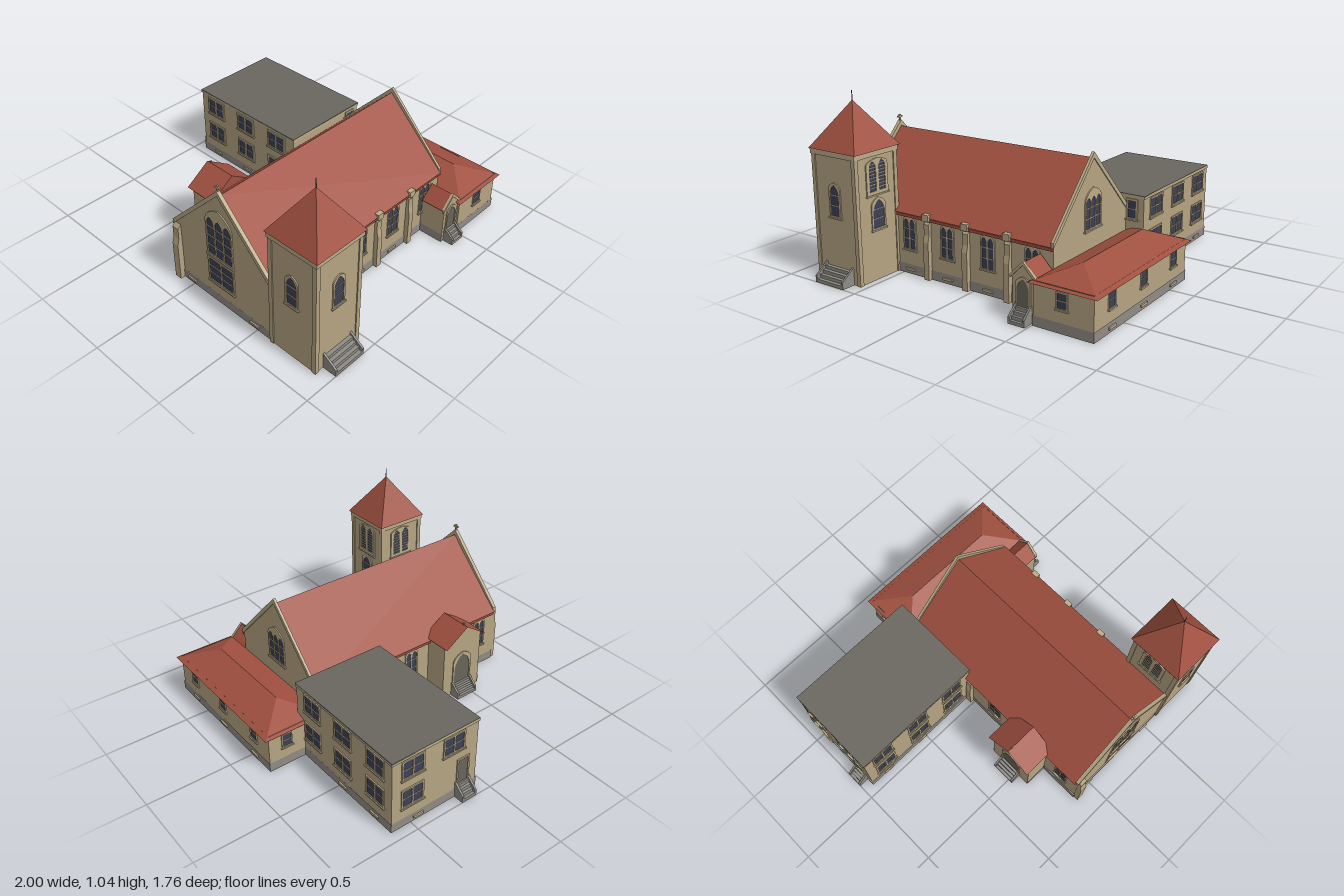
import * as THREE from 'three';

const mat = (name, color) => {
  const m = new THREE.MeshStandardMaterial({ color, side: THREE.DoubleSide });
  m.name = name;
  return m;
};

export function createModel() {
  const M = {
    wall: mat('sandstone', 0xb5a482), trim: mat('paleStone', 0xbbab89), roof: mat('redTile', 0xa05040),
    base: mat('greyPlinth', 0x918b85), glass: mat('darkGlass', 0x3c4154), flat: mat('flatRoofGrey', 0x69675e),
    step: mat('stepGrey', 0x8f8c86), door: mat('doorGrey', 0x68645a), iron: mat('iron', 0x55565a),
  };
  const root = new THREE.Group();
  root.name = 'church';

  // ---------- helpers ----------
  const add = (name, geo, m, parent = root) => {
    const mesh = new THREE.Mesh(geo, m);
    mesh.name = name;
    parent.add(mesh);
    return mesh;
  };
  const box = (name, x0, x1, y0, y1, z0, z1, m, parent) => {
    const g = new THREE.BoxGeometry(x1 - x0, y1 - y0, z1 - z0);
    g.translate((x0 + x1) / 2, (y0 + y1) / 2, (z0 + z1) / 2);
    return add(name, g, m, parent);
  };
  // convex polygons as flat triangle fans
  const faces = (name, polys, m, parent) => {
    const p = [];
    for (const q of polys) for (let i = 1; i < q.length - 1; i++) p.push(...q[0], ...q[i], ...q[i + 1]);
    const g = new THREE.BufferGeometry();
    g.setAttribute('position', new THREE.Float32BufferAttribute(p, 3));
    g.computeVertexNormals();
    return add(name, g, m, parent);
  };
  // four upright walls, open above and below
  const shell = (name, x0, x1, z0, z1, y0, y1, m) => {
    const c = [[x0, z1], [x1, z1], [x1, z0], [x0, z0]];
    return faces(name, c.map(([x, z], i) => {
      const [u, w] = c[(i + 1) % 4];
      return [[x, y0, z], [u, y0, w], [u, y1, w], [x, y1, z]];
    }), m);
  };
  const plinth = (x0, x1, z0, z1) => shell('plinth', x0 - 0.004, x1 + 0.004, z0 - 0.004, z1 + 0.004, 0, 0.056, M.base);
  // puts a part modelled facing +z onto a wall
  const turn = { front: 0, right: Math.PI / 2, back: Math.PI, left: -Math.PI / 2 };
  const onWall = (name, side, u, y, w) => {
    const g = new THREE.Group();
    g.name = name;
    g.rotation.y = turn[side];
    if (side === 'front' || side === 'back') g.position.set(u, y, w);
    else g.position.set(w, y, u);
    root.add(g);
    return g;
  };
  const outline = (P, cx, w, y0, spring, top) => {
    const s = new P(), r = w / 2, d = top - spring;
    s.moveTo(cx - r, y0);
    s.lineTo(cx + r, y0);
    s.lineTo(cx + r, spring);
    if (d > 0) {
      s.quadraticCurveTo(cx + r * 0.9, spring + d * 0.65, cx, top);
      s.quadraticCurveTo(cx - r * 0.9, spring + d * 0.65, cx - r, spring);
    } else s.lineTo(cx - r, spring);
    return s;
  };
  const extrude = (shape, depth, z = 0) =>
    new THREE.ExtrudeGeometry(shape, { depth, bevelEnabled: false, curveSegments: 6 }).translate(0, 0, z);
  // window or door with n lights, a surround, glazing bars and a sill
  const opening = (name, side, u, y, wall, { n = 1, w, h, arch = false, rows = 2, hood = 0.012, fill = M.glass, gap = 0.01 }) => {
    const g = onWall(name, side, u, y, wall);
    const W = n * w + (n + 1) * gap;
    const top = arch ? h + hood : h + gap;
    const surround = outline(THREE.Shape, 0, W, -gap, arch ? h - w * 0.35 : top, top);
    for (let i = 0; i < n; i++) {
      const cx = (i - (n - 1) / 2) * (w + gap);
      const spring = arch ? h - w * 0.8 : h;
      surround.holes.push(outline(THREE.Path, cx, w, 0, spring, h));
      add('pane', extrude(outline(THREE.Shape, cx, w, 0, spring, h), 0.006, -0.003), fill, g);
      for (let r = 1; r < rows; r++) {
        const by = h * r / rows;
        box('glazingBar', cx - w / 2, cx + w / 2, by - 0.002, by + 0.002, 0.002, 0.006, M.trim, g);
      }
    }
    add('surround', extrude(surround, 0.007), M.trim, g);
    box('sill', -W / 2 - 0.006, W / 2 + 0.006, -gap - 0.006, -gap + 0.002, 0, 0.012, M.trim, g);
  };
  const steps = (name, side, u, wall, w, d, h) => {
    const g = onWall(name, side, u, 0, wall), n = 4;
    for (let i = 0; i < n; i++) box('tread', -w / 2, w / 2, h * 0.8 * i / n, h * 0.8 * (i + 1) / n, 0, d * (1 - i / n), M.step, g);
    const cheek = new THREE.Shape([[0, 0], [d, 0], [d, h * 0.4], [0, h]].map(p => new THREE.Vector2(...p)));
    for (const s of [-1, 1]) {
      const m = add('cheek', extrude(cheek, 0.012, -0.006), M.step, g);
      m.rotation.y = -Math.PI / 2;
      m.position.x = s * (w / 2 - 0.006);
    }
  };
  const vent = (side, u, wall) => box('basementVent', -0.033, 0.033, -0.007, 0.007, -0.001, 0.008, M.trim, onWall('vent', side, u, 0.027, wall));
  // raised coping following a gable of half width r
  const coping = (name, side, u, wall, r, y0, y1, t, depth) => {
    const s = new THREE.Shape([[-r, y0], [0, y1], [r, y0], [r, y0 - t], [0, y1 - t], [-r, y0 - t]].map(p => new THREE.Vector2(...p)));
    add('coping', extrude(s, depth, -depth), M.trim, onWall(name, side, u, 0, wall));
  };
  const cross = (x, y, z, s) => {
    box('crossUpright', x - s * 0.12, x + s * 0.12, y, y + s, z - s * 0.12, z + s * 0.12, M.trim);
    box('crossArm', x - s * 0.45, x + s * 0.45, y + s * 0.55, y + s * 0.8, z - s * 0.12, z + s * 0.12, M.trim);
  };

  // ---------- nave ----------
  const nx0 = -0.13, nx1 = 0.61, nz0 = -0.51, nz1 = 0.845, rx = 0.24;
  faces('naveWalls', [
    ...[nz0, nz1].map(z => [[nx0, 0.05, z], [nx1, 0.05, z], [nx1, 0.375, z], [rx, 0.755, z], [nx0, 0.375, z]]),
    ...[nx0, nx1].map(x => [[x, 0.05, nz0], [x, 0.05, nz1], [x, 0.37, nz1], [x, 0.37, nz0]]),
  ], M.wall);
  plinth(nx0, nx1, nz0, nz1);
  faces('naveRoof', [-0.15, 0.63].map(x => [[x, 0.358, nz0 + 0.005], [x, 0.358, nz1 - 0.01], [rx, 0.737, nz1 - 0.01], [rx, 0.737, nz0 + 0.005]]), M.roof);
  for (const x of [-0.145, 0.612]) box('eavesFascia', x, x + 0.013, 0.337, 0.354, nz0, nz1 - 0.015, M.roof);
  coping('frontCoping', 'front', rx, nz1 + 0.006, 0.38, 0.383, 0.773, 0.032, 0.022);
  coping('rearCoping', 'back', rx, nz0 - 0.006, 0.38, 0.379, 0.768, 0.032, 0.016);
  cross(rx, 0.765, nz1 - 0.005, 0.04);
  opening('frontWindow', 'front', 0.235, 0.325, nz1, { n: 3, w: 0.053, h: 0.245, arch: true, rows: 4, hood: 0.07 });
  opening('lowerFrontWindow', 'front', 0.235, 0.14, nz1, { n: 2, w: 0.085, h: 0.145, rows: 3 });
  opening('rearWindow', 'back', rx, 0.36, nz0, { n: 3, w: 0.04, h: 0.17, arch: true, rows: 3, hood: 0.05 });
  const naveWin = { n: 2, w: 0.035, h: 0.175, arch: true, rows: 3, hood: 0.02, gap: 0.008 };
  for (const z of [0.445, 0.175, -0.1, -0.385]) opening('naveWindow', 'right', z, 0.15, nx1, naveWin);
  for (const z of [0.72, 0.175]) opening('naveWindow', 'left', z, 0.15, nx0, naveWin);

  // buttresses with sloping caps
  const buttress = (side, u, wall, w, d, h) => {
    const s = new THREE.Shape([[0, 0], [d, 0], [d, h * 0.64], [d * 0.65, h * 0.76], [d * 0.65, h * 0.94], [0, h]].map(p => new THREE.Vector2(...p)));
    const m = add('buttress', extrude(s, w, -w / 2), M.wall, onWall('buttress', side, u, 0, wall));
    m.rotation.y = -Math.PI / 2;
  };
  for (const z of [0.31, 0.04, -0.235]) {
    buttress('right', z, nx1, 0.036, 0.028, 0.34);
    box('buttressCap', nx1 - 0.005, nx1 + 0.028, 0.34, 0.378, z - 0.022, z + 0.022, M.trim);
  }
  buttress('left', -0.03, nx0, 0.036, 0.028, 0.34);
  buttress('front', -0.105, nz1, 0.045, 0.032, 0.37);
  for (const x of [-0.01, 0.48]) vent('front', x, nz1 + 0.004);
  for (const z of [0.445, 0.175, -0.1]) vent('right', z, nx1 + 0.004);

  // ---------- bell tower ----------
  const tx0 = 0.6, tx1 = 0.92, tz0 = 0.533, tz1 = 0.858, tcx = 0.757, tcz = 0.692;
  shell('towerWalls', tx0 + 0.006, tx1 - 0.006, tz0 + 0.006, tz1 - 0.006, 0, 0.72, M.wall);
  for (const x of [tx0, tx1 - 0.026]) for (const z of [tz0, tz1 - 0.026])
    box('cornerPilaster', x, x + 0.026, 0, 0.705, z, z + 0.026, M.wall);
  box('towerCornice', tx0 - 0.004, tx1 + 0.004, 0.705, 0.734, tz0 - 0.004, tz1 + 0.004, M.trim);
  const tc = [[0.585, 0.866], [0.93, 0.866], [0.93, 0.519], [0.585, 0.519]];
  faces('towerRoof', [...tc.map(([x, z], i) => {
    const [u, w] = tc[(i + 1) % 4];
    return [[x, 0.735, z], [u, 0.735, w], [tcx, 0.99, tcz]];
  }), tc.map(([x, z]) => [x, 0.735, z])], M.roof);
  add('spire', new THREE.CylinderGeometry(0.002, 0.004, 0.07, 6).translate(tcx, 1.007, tcz), M.iron);
  const towerWin = { w: 0.066, h: 0.175, arch: true, rows: 3, hood: 0.014 };
  opening('towerWindow', 'front', tcx, 0.365, tz1 - 0.006, towerWin);
  opening('towerWindow', 'right', 0.697, 0.375, tx1 - 0.006, towerWin);
  opening('towerRearWindow', 'back', tcx, 0.3, tz0 + 0.006, { ...towerWin, w: 0.085, h: 0.16 });
  const louvre = { n: 2, w: 0.05, h: 0.17, arch: true, rows: 9, gap: 0.02 };
  opening('bellLouvres', 'back', tcx, 0.51, tz0 + 0.006, louvre);
  opening('bellLouvres', 'left', tcz, 0.51, tx0 + 0.006, louvre);
  steps('towerSteps', 'right', 0.692, tx1 - 0.006, 0.21, 0.086, 0.1);

  // ---------- two-storey flat-roofed wing ----------
  const ax0 = -0.935, ax1 = -0.12, az0 = -0.622, az1 = -0.055;
  shell('wingWalls', ax0, ax1, az0, az1, 0.05, 0.45, M.wall);
  plinth(ax0, ax1, az0, az1);
  shell('wingCoping', ax0 - 0.005, ax1 + 0.005, az0 - 0.005, az1 + 0.005, 0.436, 0.453, M.trim);
  box('wingRoof', ax0 - 0.005, ax1 + 0.005, 0.447, 0.455, az0 - 0.005, az1 + 0.005, M.flat);
  const pair = { n: 2, w: 0.058, h: 0.1, rows: 2 };
  for (const y of [0.133, 0.32]) {
    for (const x of [-0.805, -0.535, -0.265]) {
      opening('wingWindow', 'front', x, y, az1, pair);
      opening('wingWindow', 'back', x, y, az0, pair);
    }
    opening('wingWindow', 'left', -0.49, y, ax0, pair);
  }
  opening('wingWindow', 'left', -0.22, 0.32, ax0, pair);
  opening('wingWindow', 'right', -0.55, 0.32, ax1, { w: 0.05, h: 0.1 });
  opening('wingDoor', 'left', -0.15, 0.085, ax0, { w: 0.065, h: 0.15, rows: 1, fill: M.door });
  steps('wingSteps', 'left', -0.15, ax0, 0.1, 0.065, 0.1);
  for (const x of [-0.805, -0.535]) {
    vent('front', x, az1 + 0.004);
    vent('back', x, az0 - 0.004);
  }
  vent('left', -0.45, ax0 - 0.004);

  // ---------- low hipped rear range ----------
  shell('rearWalls', -0.18, 0.78, -0.853, -0.505, 0.05, 0.24, M.wall);
  plinth(-0.18, 0.78, -0.853, -0.505);
  const a = [-0.2, 0.228, -0.48], b = [0.8, 0.228, -0.48], c = [0.8, 0.228, -0.88], d = [-0.2, 0.228, -0.88];
  const e = [0, 0.312, -0.68], f = [0.6, 0.312, -0.68];
  faces('rearRoof', [[a, b, f, e], [b, c, f], [c, d, e, f], [d, a, e]], M.roof);
  const small = { w: 0.055, h: 0.08, rows: 2, gap: 0.006 };
  for (const x of [0.62, 0.3, -0.03]) {
    opening('rearRangeWindow', 'back', x, 0.13, -0.853, small);
    vent('back', x, -0.857);
  }
  opening('rearRangeWindow', 'right', -0.675, 0.13, 0.78, small);
  opening('rearRangeWindow', 'left', -0.74, 0.13, -0.18, small);

  // ---------- gabled porches ----------
  const porch = (side, xi, xo, z, r, eave, ridge, roofIn, roofOut, door) => {
    const s = side === 'right' ? 1 : -1;
    faces('porchWalls', [
      [[xo, 0, z - r], [xo, 0, z + r], [xo, eave, z + r], [xo, ridge, z], [xo, eave, z - r]],
      ...[-r, r].map(q => [[xi, 0, z + q], [xo, 0, z + q], [xo, eave, z + q], [xi, eave, z + q]]),
    ], M.wall);
    const R = r + 0.012;
    faces('porchRoof', [
      ...[-R, R].map(q => [[roofIn, eave, z + q], [roofOut, eave, z + q], [roofOut, ridge + 0.004, z], [roofIn, ridge + 0.004, z]]),
      [[roofIn, eave, z - R], [roofIn, eave, z + R], [roofIn, ridge + 0.004, z]],
    ], M.roof);
    faces('porchPlinth', [-r - 0.004, r + 0.004].map(q => [[xi, 0, z + q], [xo, 0, z + q], [xo, 0.056, z + q], [xi, 0.056, z + q]]), M.base);
    opening('porchDoor', side, z, 0.075, xo, { ...door, arch: true, rows: 1, fill: M.door });
    steps('porchSteps', side, z, xo, door.w + 0.03, s > 0 ? 0.065 : 0.064, 0.095);
  };
  porch('left', -0.12, -0.272, 0.453, 0.142, 0.37, 0.47, -0.1, -0.305, { w: 0.12, h: 0.2 });
  porch('right', 0.6, 0.768, -0.44, 0.068, 0.232, 0.308, 0.62, 0.765, { w: 0.07, h: 0.15 });
  coping('porchCoping', 'right', -0.44, 0.775, 0.08, 0.237, 0.318, 0.02, 0.015);
  cross(-0.272, 0.47, 0.453, 0.022);
  return root;
}
